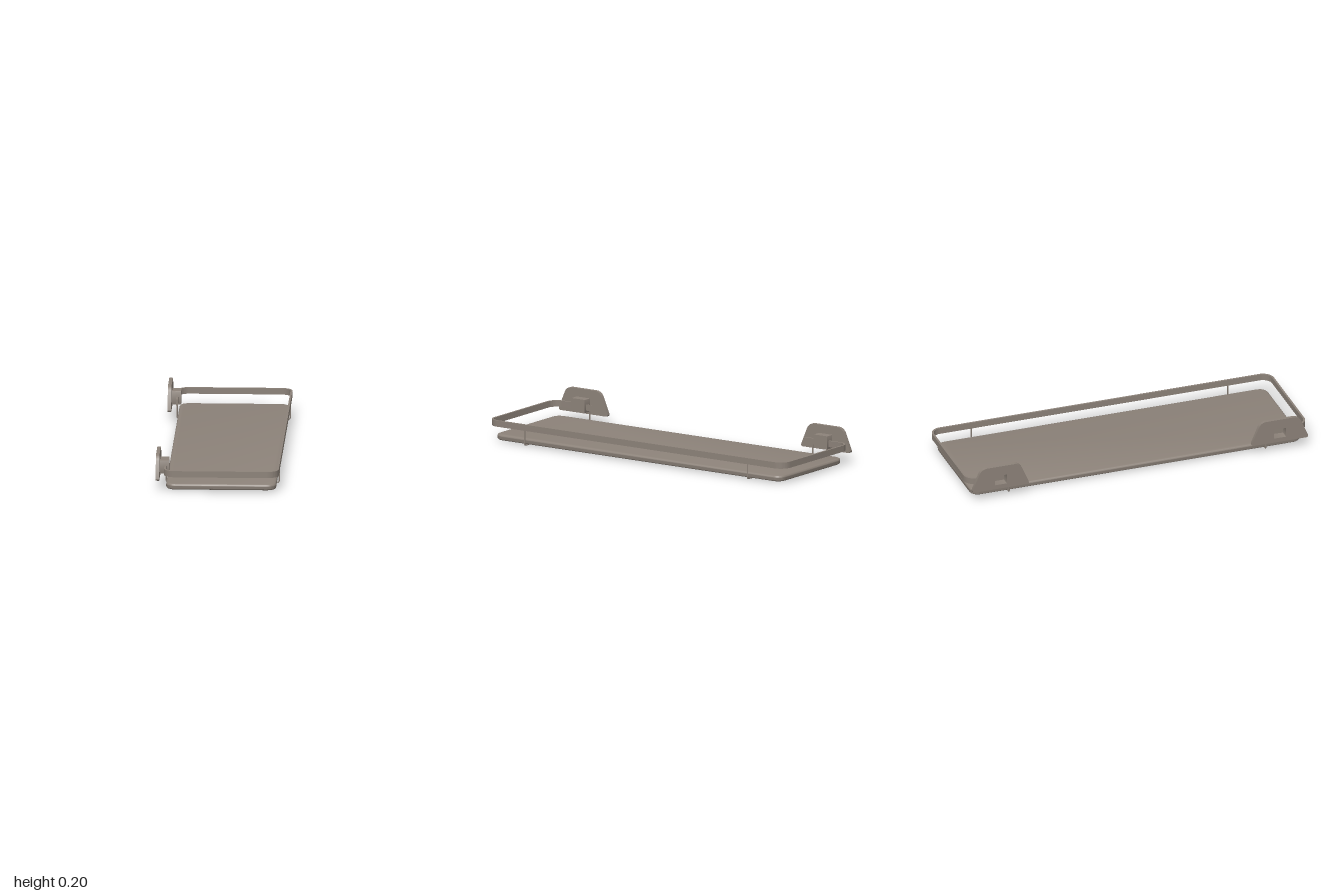
import * as THREE from 'three';
import { toCreasedNormals } from 'three/addons/utils/BufferGeometryUtils.js';

const material = new THREE.MeshStandardMaterial({ color: 0x8c8279 });

function addMesh(parent, name, geometry) {
  const mesh = new THREE.Mesh(geometry, material);
  mesh.name = name;
  parent.add(mesh);
  return mesh;
}

// Closed polygon with every corner rounded by its own radius: [x, y, r]
function roundedPolygon(points, Type = THREE.Shape) {
  const path = new Type();
  const n = points.length;
  points.forEach(([x, y, r], i) => {
    const corner = new THREE.Vector2(x, y);
    const toward = ([px, py]) =>
      new THREE.Vector2(px, py).sub(corner).setLength(r).add(corner);
    const start = toward(points[(i + n - 1) % n]);
    const end = toward(points[(i + 1) % n]);
    if (i === 0) path.moveTo(start.x, start.y);
    else path.lineTo(start.x, start.y);
    path.quadraticCurveTo(x, y, end.x, end.y);
  });
  path.closePath();
  return path;
}

const rectangle = (x0, x1, y0, y1, r, Type) =>
  roundedPolygon([[x0, y0, r], [x1, y0, r], [x1, y1, r], [x0, y1, r]], Type);

const extrude = (shape, depth, options = {}) =>
  toCreasedNormals(new THREE.ExtrudeGeometry(shape,
    { depth, bevelEnabled: false, curveSegments: 10, ...options }), 0.6);

// Shelf board with softened edges
function addShelf(parent) {
  const b = 0.012;
  const shape = rectangle(-0.284 + b, 0.324 - b, -0.967 + b, 0.967 - b, 0.045);
  const geometry = extrude(shape, 0.033 - 2 * b,
    { bevelEnabled: true, bevelSize: b, bevelThickness: b, bevelSegments: 5 });
  geometry.rotateX(-Math.PI / 2).translate(0, 0.008 + b, 0);
  addMesh(parent, 'shelfBoard', geometry);
}

// Flat guard rail, open along the wall side
function addRail(parent) {
  const x0 = -0.296, x1 = 0.339, z = 1, r = 0.065, t = 0.011, end = 0.7;
  const half = Math.PI / 2;
  const s = new THREE.Shape();
  s.moveTo(x0, -end);
  s.absarc(x0 + r, -z + r, r, Math.PI, 3 * half, false);
  s.absarc(x1 - r, -z + r, r, -half, 0, false);
  s.absarc(x1 - r, z - r, r, 0, half, false);
  s.absarc(x0 + r, z - r, r, half, Math.PI, false);
  s.lineTo(x0, end);
  s.lineTo(x0 + t, end);
  s.absarc(x0 + r, z - r, r - t, Math.PI, half, true);
  s.absarc(x1 - r, z - r, r - t, half, 0, true);
  s.absarc(x1 - r, -z + r, r - t, 0, -half, true);
  s.absarc(x0 + r, -z + r, r - t, 3 * half, Math.PI, true);
  s.lineTo(x0 + t, -end);
  s.closePath();
  const geometry = extrude(s, 0.035).rotateX(-half).translate(0, 0.087, 0);
  addMesh(parent, 'guardRail', geometry);
}

// U-shaped wire that carries the shelf below the rail
function addWire(parent, z) {
  const r = 0.004, x0 = -0.291, x1 = 0.334, top = 0.1, bend = 0.014;
  const v = (x, y) => new THREE.Vector3(x, y, z);
  const path = new THREE.CurvePath();
  path.add(new THREE.LineCurve3(v(x0, top), v(x0, r + bend)));
  path.add(new THREE.QuadraticBezierCurve3(v(x0, r + bend), v(x0, r), v(x0 + bend, r)));
  path.add(new THREE.LineCurve3(v(x0 + bend, r), v(x1 - bend, r)));
  path.add(new THREE.QuadraticBezierCurve3(v(x1 - bend, r), v(x1, r), v(x1, r + bend)));
  path.add(new THREE.LineCurve3(v(x1, r + bend), v(x1, top)));
  addMesh(parent, 'supportWire', new THREE.TubeGeometry(path, 160, r, 10));
}

// Wall plate with a hollow, front-capped mounting block
function addBracket(parent, z) {
  const bracket = new THREE.Group();
  bracket.name = 'wallBracket';
  const w = 0.045, y0 = 0.075, y1 = 0.15, wall = 0.01;
  const opening = () => rectangle(-w + wall, w - wall, y0 + wall, y1 - wall, 0.002, THREE.Path);

  const plate = roundedPolygon([
    [-0.17, 0.06, 0.02], [0.17, 0.06, 0.02], [0.112, 0.197, 0.035], [-0.112, 0.197, 0.035],
  ]);
  plate.holes.push(opening());
  const block = rectangle(-w, w, y0, y1, 0.002);
  block.holes.push(opening());
  const cap = rectangle(-w, w, y0, y1, 0.002);

  const parts = [
    ['wallPlate', plate, -0.34, 0.02],
    ['mountingBlock', block, -0.32, 0.042],
    ['blockCap', cap, -0.278, 0.008],
  ];
  for (const [name, shape, x, depth] of parts) {
    addMesh(bracket, name, extrude(shape, depth).rotateY(Math.PI / 2).translate(x, 0, 0));
  }
  bracket.position.z = z;
  parent.add(bracket);
}

export function createModel() {
  const model = new THREE.Group();
  model.name = 'wallShelf';
  addShelf(model);
  addRail(model);
  for (const side of [-1, 1]) {
    addWire(model, side * 0.752);
    addBracket(model, side * 0.818);
  }
  return model;
}
